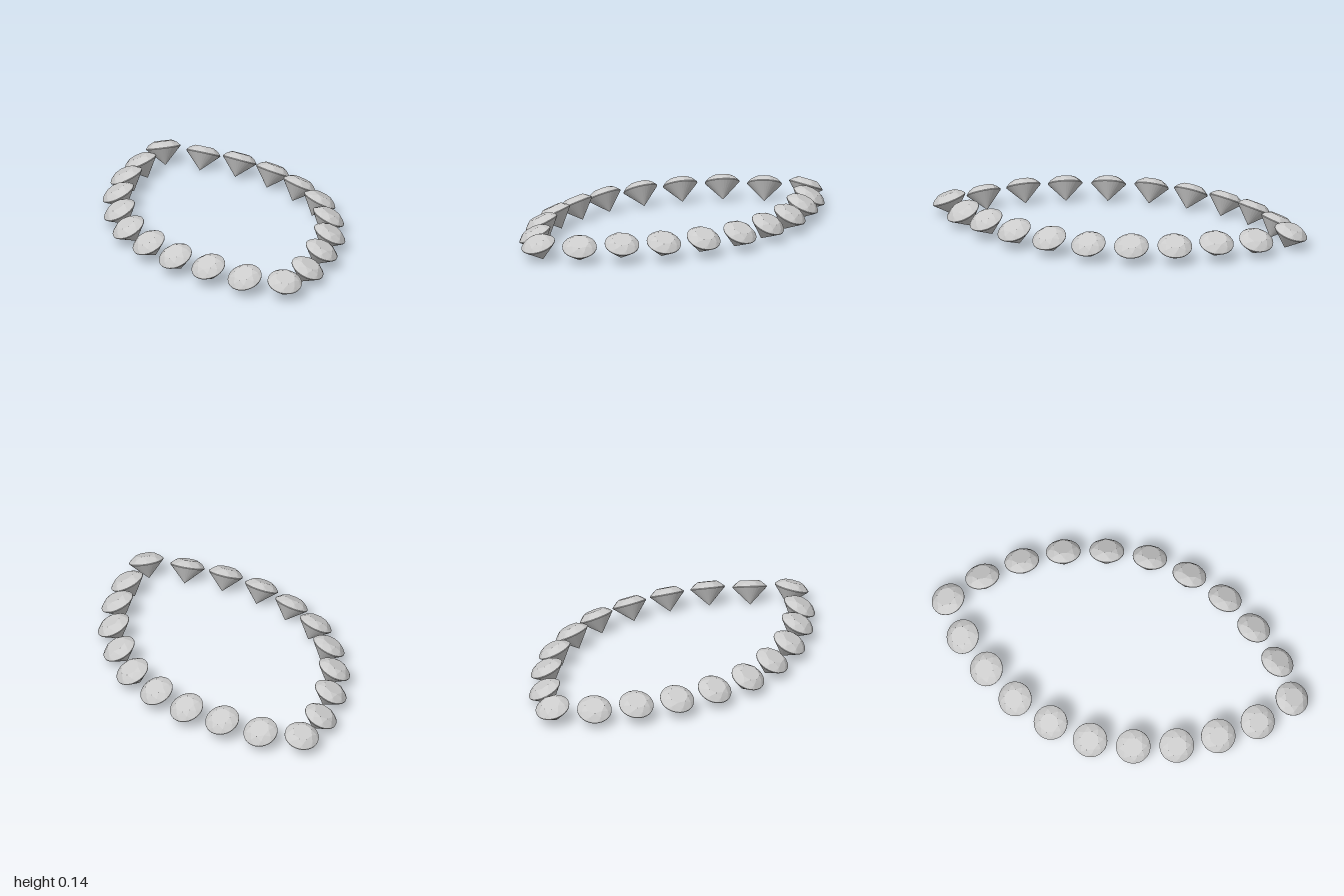
import * as THREE from 'three';
import { ConvexGeometry } from 'three/addons/geometries/ConvexGeometry.js';

// Brilliant-cut stone: table, crown breaks, thin girdle and pointed pavilion
function gemGeometry() {
  const points = [];
  const ring = (count, radius, y, turn = 0) => {
    for (let i = 0; i < count; i++) {
      const a = ((i + turn) / count) * Math.PI * 2;
      points.push(new THREE.Vector3(radius * Math.sin(a), y, radius * Math.cos(a)));
    }
  };
  ring(8, 0.05, 0.033);
  ring(8, 0.072, 0.02, 0.5);
  ring(32, 0.088, 0.002);
  ring(32, 0.088, -0.002);
  points.push(new THREE.Vector3(0, -0.09, 0));
  return new ConvexGeometry(points);
}

export function createModel() {
  const model = new THREE.Group();
  model.name = 'gemRing';
  const material = new THREE.MeshStandardMaterial({ color: 0xcccccc, flatShading: true });
  const geometry = gemGeometry();
  const up = new THREE.Vector3(0, 1, 0);

  // Quarter of the pointed oval: x, y, z, outward x, outward z, tilt in degrees
  const quarter = [
    [0, 0.086, 0.915, 0, 1, 22],
    [0.17, 0.083, 0.785, 0.72, 0.69, 27],
    [0.306, 0.094, 0.617, 0.82, 0.57, 26],
    [0.417, 0.092, 0.43, 0.91, 0.41, 27],
    [0.486, 0.091, 0.22, 0.974, 0.227, 28],
    [0.517, 0.09, 0, 1, 0, 28],
  ];

  // Mirror each stone into the other quarters, leaning its top outward
  for (const [x, y, z, nx, nz, degrees] of quarter) {
    const tilt = THREE.MathUtils.degToRad(degrees);
    for (const sx of x ? [1, -1] : [1]) {
      for (const sz of z ? [1, -1] : [1]) {
        const gem = new THREE.Mesh(geometry, material);
        gem.name = 'gem';
        gem.position.set(sx * x, y, sz * z);
        const axis = new THREE.Vector3(sx * nx * Math.sin(tilt), Math.cos(tilt), sz * nz * Math.sin(tilt));
        gem.quaternion.setFromUnitVectors(up, axis.normalize());
        model.add(gem);
      }
    }
  }
  return model;
}
